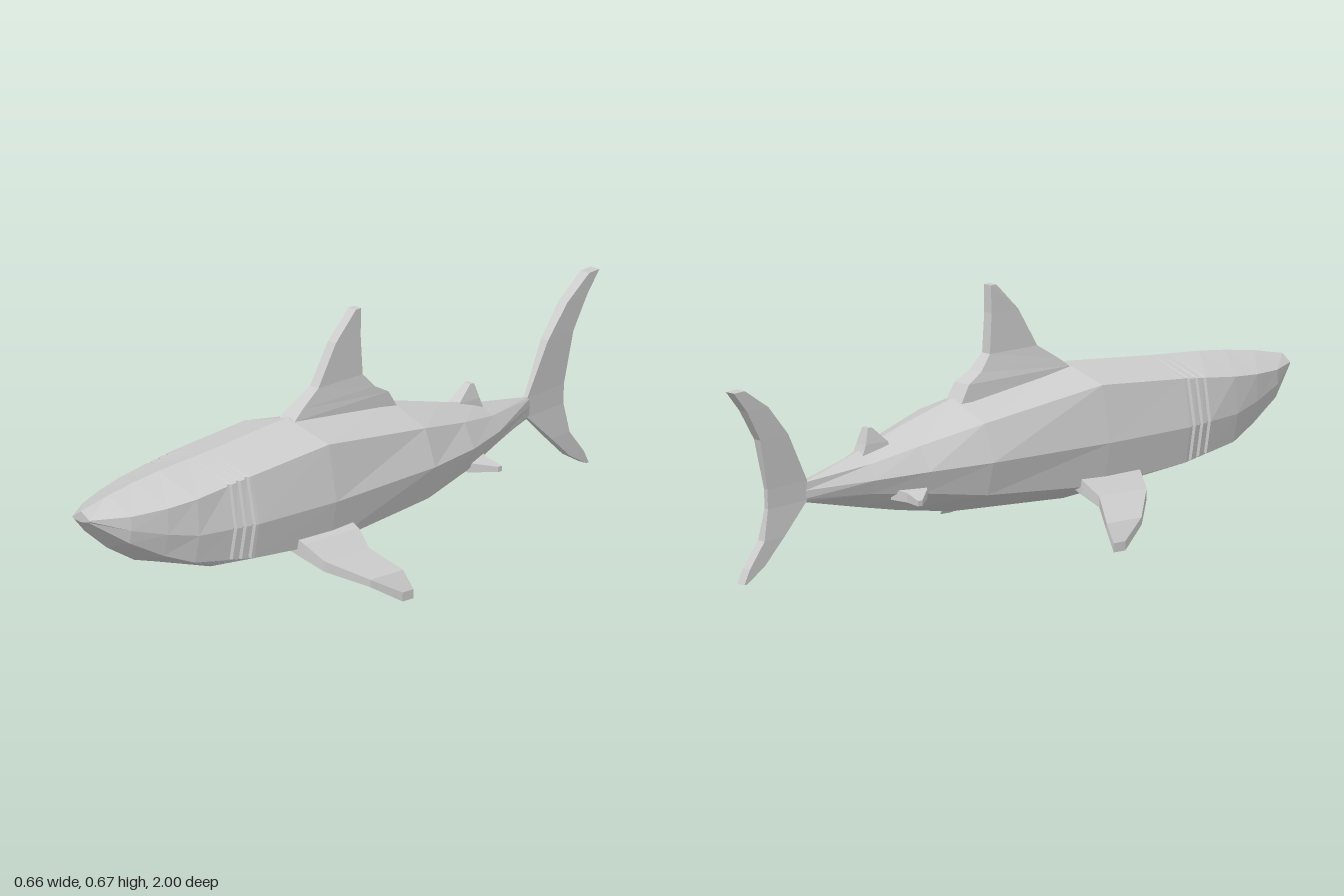
import * as THREE from 'three';

const material = new THREE.MeshStandardMaterial({ color: 0xcccccc, flatShading: true });

// Skin a list of equal-length rings (arrays of [x, y, z]) and cap both ends.
function loft(name, rings) {
  const n = rings[0].length;
  const index = [];
  rings.slice(1).forEach((_, i) => {
    for (let j = 0; j < n; j++) {
      const a = i * n + j, b = i * n + (j + 1) % n;
      index.push(a, a + n, b + n, a, b + n, b);
    }
  });
  const last = (rings.length - 1) * n;
  for (let j = 1; j < n - 1; j++) {
    index.push(0, j, j + 1, last, last + j + 1, last + j);
  }
  const geometry = new THREE.BufferGeometry();
  geometry.setAttribute('position', new THREE.Float32BufferAttribute(rings.flat(2), 3));
  geometry.setIndex(index);
  const flat = geometry.toNonIndexed();
  flat.computeVertexNormals();
  const mesh = new THREE.Mesh(flat, material);
  mesh.name = name;
  return mesh;
}

// Upright fin: rows of [y, front z, back z, thickness]; xAt gives the centre line.
function uprightFin(name, rows, xAt) {
  return loft(name, rows.map(([y, zf, zb, t]) => [
    [xAt(zf) + t / 2, y, zf], [xAt(zf) - t / 2, y, zf],
    [xAt(zb) - t / 2, y, zb], [xAt(zb) + t / 2, y, zb],
  ]));
}

// Side fin: rows of [span, y, front z, back z, thickness]; side is +1 or -1.
function sideFin(name, rows, side, cx) {
  return loft(name, rows.map(([s, y, zf, zb, t]) => {
    const x = cx + side * s, h = side * t / 2;
    return [[x, y - h, zf], [x, y + h, zf], [x, y + h, zb], [x, y - h, zb]];
  }));
}

// Eight-point body section: crown, upper ridge, flank, lower ridge, keel.
function bodyRing([z, cx, yTop, wu, yu, wm, ym, wl, yl, yBottom]) {
  return [
    [cx, yTop, z], [cx - wu, yu, z], [cx - wm, ym, z], [cx - wl, yl, z],
    [cx, yBottom, z], [cx + wl, yl, z], [cx + wm, ym, z], [cx + wu, yu, z],
  ];
}

function createBody() {
  const c = -0.012;
  const head = [
    [0.995, c, 0.355, 0.03, 0.336, 0.03, 0.333, 0.025, 0.33, 0.326],
    [0.9, c, 0.375, 0.086, 0.337, 0.088, 0.30, 0.08, 0.265, 0.237],
    [0.8, c, 0.39, 0.12, 0.344, 0.122, 0.275, 0.105, 0.215, 0.182],
    [0.71, c, 0.40, 0.138, 0.353, 0.145, 0.257, 0.13, 0.182, 0.157],
  ];
  const trunk = [
    [0.52, c, 0.413, 0.148, 0.375, 0.174, 0.252, 0.157, 0.158, 0.102],
    [0.24, c, 0.437, 0.15, 0.397, 0.179, 0.25, 0.158, 0.137, 0.08],
    [-0.15, -0.02, 0.395, 0.125, 0.347, 0.16, 0.25, 0.135, 0.162, 0.10],
    [-0.34, -0.026, 0.347, 0.085, 0.31, 0.12, 0.247, 0.1, 0.188, 0.13],
    [-0.5, -0.045, 0.307, 0.05, 0.281, 0.074, 0.243, 0.06, 0.206, 0.163],
    [-0.715, -0.077, 0.266, 0.005, 0.261, 0.006, 0.24, 0.005, 0.218, 0.21],
  ];
  // Three gill slits cut as shallow grooves across the flanks
  const gills = [];
  const front = head[3], back = trunk[0];
  const between = (z, cut) => {
    const t = (front[0] - z) / (front[0] - back[0]);
    const row = front.map((v, k) => THREE.MathUtils.lerp(v, back[k], t));
    [3, 5, 7].forEach((k) => { row[k] -= cut; });
    return row;
  };
  for (const z of [0.603, 0.573, 0.543]) {
    gills.push(between(z, 0), between(z - 0.002, 0.009), between(z - 0.011, 0.009), between(z - 0.013, 0));
  }
  return loft('body', [...head, ...gills, ...trunk].map(bodyRing));
}

export function createModel() {
  const model = new THREE.Group();
  model.name = 'shark';
  model.add(createBody());

  // Back fins
  model.add(uprightFin('dorsalFin', [
    [0.385, 0.24, -0.15, 0.06],
    [0.43, 0.235, -0.12, 0.055],
    [0.455, 0.2, -0.07, 0.045],
    [0.495, 0.135, -0.03, 0.03],
    [0.60, 0.07, -0.023, 0.028],
    [0.673, -0.005, -0.025, 0.027],
  ], (z) => -0.015 + Math.min(0, z) * 0.08));
  model.add(uprightFin('rearDorsalFin', [
    [0.29, -0.39, -0.50, 0.04],
    [0.325, -0.41, -0.485, 0.036],
    [0.366, -0.458, -0.472, 0.022],
  ], () => -0.045));

  // Crescent tail, swung towards the right
  model.add(uprightFin('tailFin', [
    [0.033, -0.946, -0.957, 0.027],
    [0.07, -0.877, -0.935, 0.027],
    [0.134, -0.80, -0.877, 0.025],
    [0.214, -0.705, -0.858, 0.013],
    [0.266, -0.705, -0.86, 0.013],
    [0.40, -0.785, -0.893, 0.025],
    [0.483, -0.865, -0.948, 0.03],
    [0.539, -0.957, -1.0, 0.031],
  ], (z) => -0.077 + (z + 0.71) * 0.13));

  // Paired fins
  const pectoral = [
    [0.11, 0.17, 0.37, 0.16, 0.05],
    [0.17, 0.143, 0.36, 0.16, 0.04],
    [0.22, 0.11, 0.338, 0.175, 0.028],
    [0.298, 0.062, 0.25, 0.13, 0.02],
    [0.33, 0.014, 0.165, 0.125, 0.024],
  ];
  const pelvic = [
    [0.06, 0.195, -0.31, -0.43, 0.03],
    [0.105, 0.19, -0.345, -0.415, 0.025],
    [0.153, 0.182, -0.405, -0.42, 0.014],
  ];
  for (const [label, side] of [['left', 1], ['right', -1]]) {
    model.add(sideFin(`${label}PectoralFin`, pectoral, side, -0.002));
    model.add(sideFin(`${label}PelvicFin`, pelvic, side, -0.037));
  }
  return model;
}
